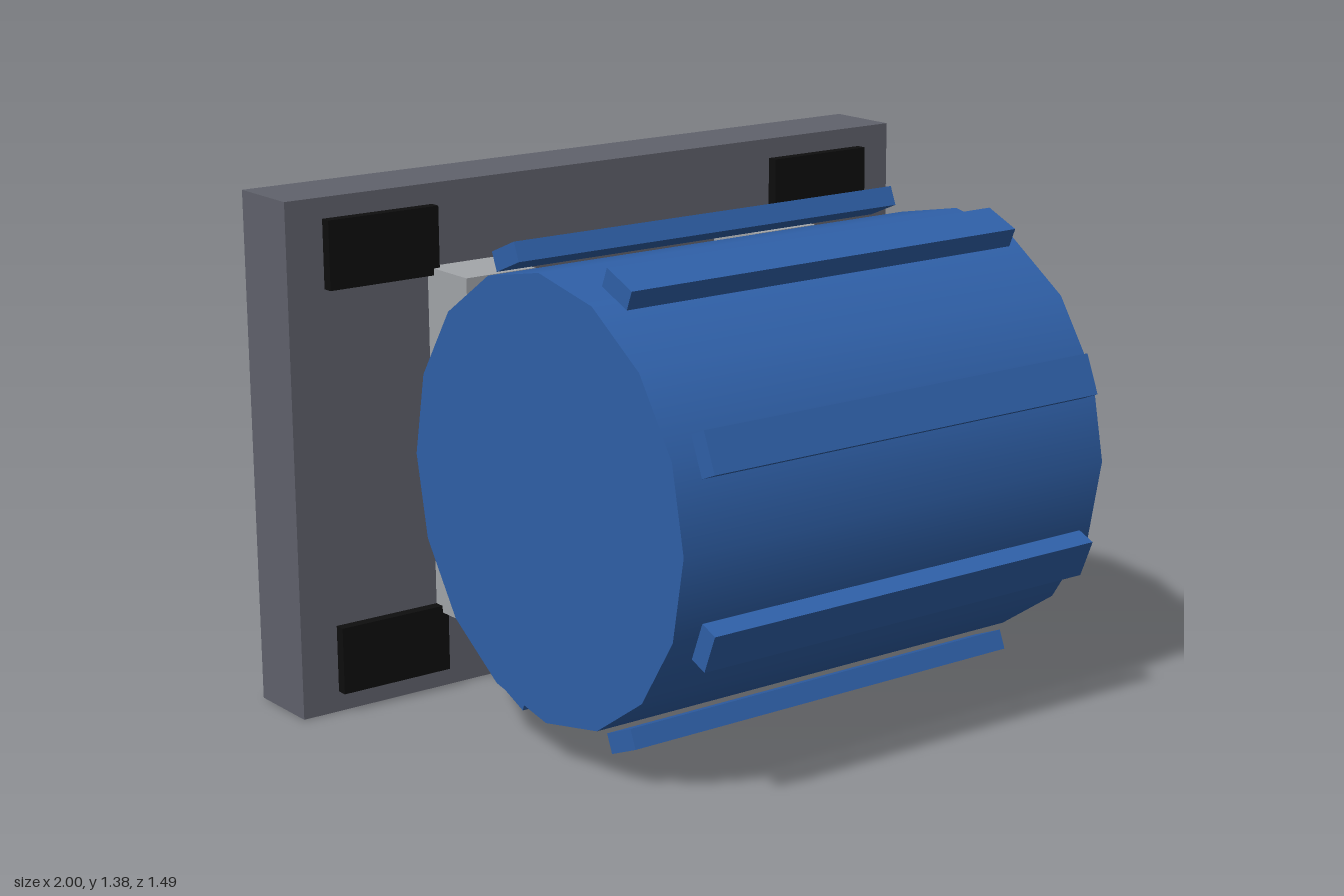
import * as THREE from 'three';

export function createModel() {
  const model = new THREE.Group();
  const material = (name, color) => {
    const m = new THREE.MeshStandardMaterial({ color });
    m.name = name;
    return m;
  };
  const darkGrey = material('dark grey', 0x60626c);
  const lightGrey = material('light grey', 0xa3a6aa);
  const blue = material('blue', 0x2f60a8);
  const black = material('black', 0x0e0e0e);

  const add = (name, geometry, mat, x, y, z) => {
    const mesh = new THREE.Mesh(geometry, mat);
    mesh.name = name;
    mesh.position.set(x, y, z);
    model.add(mesh);
    return mesh;
  };

  // Upright mounting plate at the back
  add('backPlate', new THREE.BoxGeometry(2, 1.385, 0.215), darkGrey, 0, 0.6925, -0.6375);

  // Corner pads and drum brackets, mirrored left and right
  const padGeometry = new THREE.BoxGeometry(0.33, 0.183, 0.03);
  const bracketGeometry = new THREE.BoxGeometry(0.215, 0.945, 0.185);
  for (const side of [-1, 1]) {
    for (const y of [0.147, 1.238]) add('cornerPad', padGeometry, black, side * 0.727, y, -0.515);
    add('bracket', bracketGeometry, lightGrey, side * 0.473, 0.6925, -0.4375);
  }

  // Horizontal drum with a 16-sided outline
  const centreY = 0.6925, centreZ = 0.13;
  const drumGeometry = new THREE.CylinderGeometry(0.58, 0.58, 1.36, 16).rotateZ(Math.PI / 2);
  add('drum', drumGeometry, blue, 0, centreY, centreZ);

  // Six ribs just off the drum surface; the bracket side stays clear
  const ribGeometry = new THREE.BoxGeometry(1.235, 0.053, 0.108);
  for (let i = 0; i < 6; i++) {
    const angle = -Math.PI / 8 + (i * Math.PI) / 4; // from straight up towards the front
    const rib = add('rib', ribGeometry, blue, 0,
      centreY + 0.62 * Math.cos(angle), centreZ + 0.62 * Math.sin(angle));
    rib.rotation.x = angle;
  }

  return model;
}
